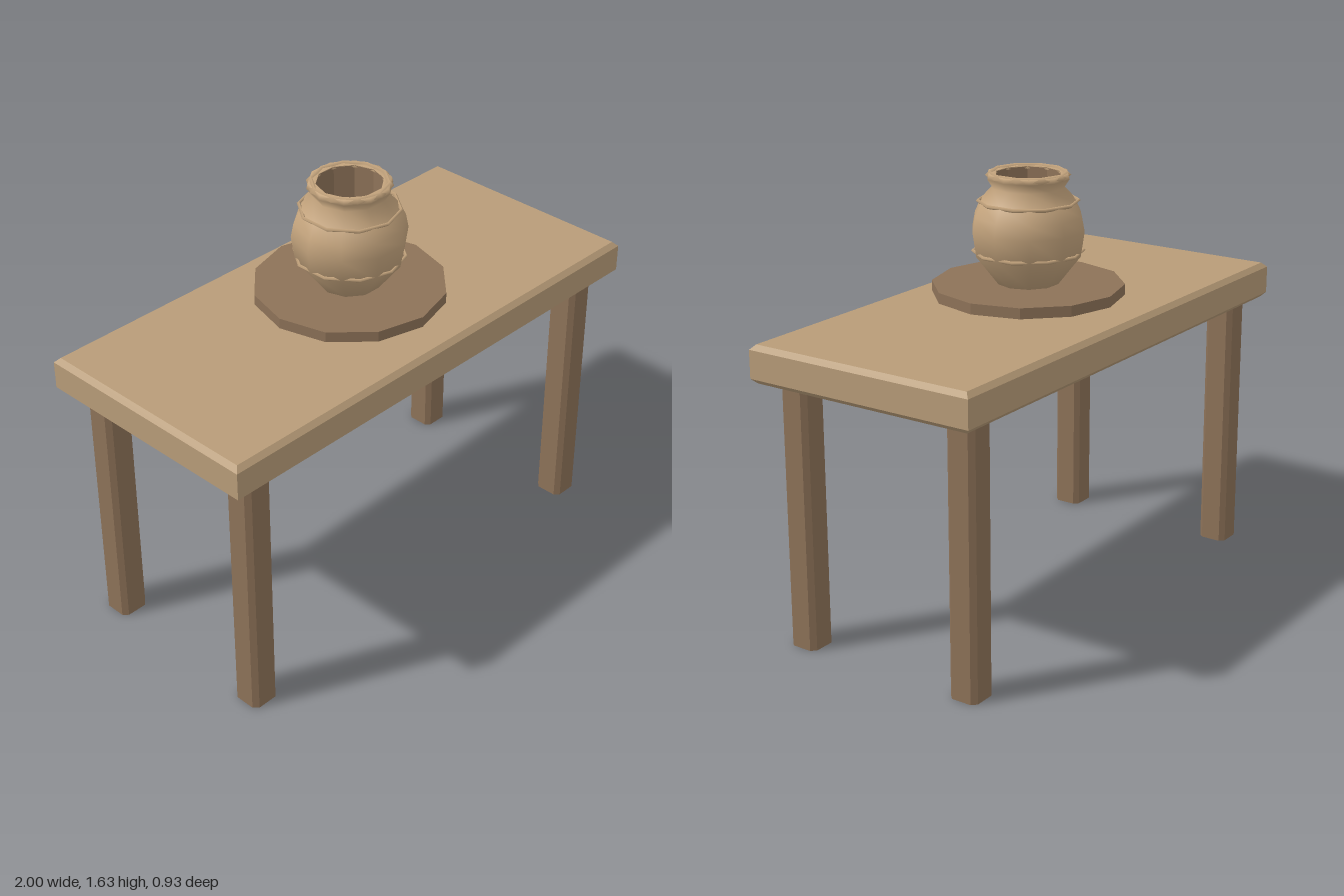
import * as THREE from 'three';

const material = (name, color, side = THREE.FrontSide, flatShading = false) => {
  const m = new THREE.MeshStandardMaterial({ color, side, flatShading });
  m.name = name;
  return m;
};

export function createModel() {
  const model = new THREE.Group();
  const tan = material('tan wood', 0xb89c78);
  const brown = material('brown wood', 0x8d7258, THREE.DoubleSide, true);
  const clay = material('clay', 0xc4a47d, THREE.DoubleSide);

  const add = (name, geometry, mat, x = 0, y = 0, z = 0, parent = model) => {
    const mesh = new THREE.Mesh(geometry, mat);
    mesh.name = name;
    mesh.position.set(x, y, z);
    parent.add(mesh);
    return mesh;
  };

  // Upright prism: rectangle with optionally cut corners, extruded along y
  const prism = (hx, hz, cut, options) => {
    const shape = new THREE.Shape(cut > 0 ? [
      [hx - cut, -hz], [hx, cut - hz], [hx, hz - cut], [hx - cut, hz],
      [cut - hx, hz], [-hx, hz - cut], [-hx, cut - hz], [cut - hx, -hz],
    ].map(([x, y]) => new THREE.Vector2(x, y)) : [
      [-hx, -hz], [hx, -hz], [hx, hz], [-hx, hz],
    ].map(([x, y]) => new THREE.Vector2(x, y)));
    return new THREE.ExtrudeGeometry(shape, options).rotateX(-Math.PI / 2);
  };

  // Table top with bevelled upper and lower edges
  const bevel = 0.018;
  add('tableTop', prism(1 - bevel, 0.463 - bevel, 0, {
    depth: 0.14 - 2 * bevel, bevelEnabled: true, bevelSegments: 1,
    bevelSize: bevel, bevelThickness: bevel,
  }), tan, 0, 1.005 + bevel, 0);

  // Four legs with chamfered corners
  const legGeometry = prism(0.057, 0.057, 0.018, { depth: 1.007, bevelEnabled: false });
  for (const x of [-0.857, 0.857]) {
    for (const z of [-0.357, 0.357]) add('leg', legGeometry, brown, x, 0, z);
  }

  // Twelve-sided turning disc hovering over the table
  add('turningDisc', new THREE.CylinderGeometry(0.356, 0.356, 0.04, 12), brown, 0, 1.195, 0);

  // Ten-sided pot
  const pot = new THREE.Group();
  pot.name = 'pot';
  model.add(pot);
  const profile = [
    [0.001, 1.216], [0.115, 1.216], [0.199, 1.325], [0.213, 1.418], [0.203, 1.47],
    [0.178, 1.522], [0.132, 1.572], [0.155, 1.607], [0.15, 1.625], [0.122, 1.622],
  ].map(([r, y]) => new THREE.Vector2(r, y));
  add('potBody', new THREE.LatheGeometry(profile, 10, Math.PI / 2), clay, 0, 0, 0, pot);

  // Inner wall and floor
  add('potInside', new THREE.CylinderGeometry(0.122, 0.115, 0.385, 10, 1, true, Math.PI / 2),
    brown, 0, 1.427, 0, pot);
  add('potFloor', new THREE.CircleGeometry(0.115, 10).rotateX(-Math.PI / 2), brown, 0, 1.236, 0, pot);

  // Decorative rings and rim, turned half a side against the body
  const ring = (name, radius, tube, y) => add(name,
    new THREE.TorusGeometry(radius - tube, tube, 4, 10).rotateX(Math.PI / 2).rotateY(Math.PI / 2),
    clay, 0, y, 0, pot);
  ring('lowerRing', 0.209, 0.007, 1.335);
  ring('upperRing', 0.19, 0.007, 1.521);
  ring('rim', 0.156, 0.016, 1.615);

  return model;
}
